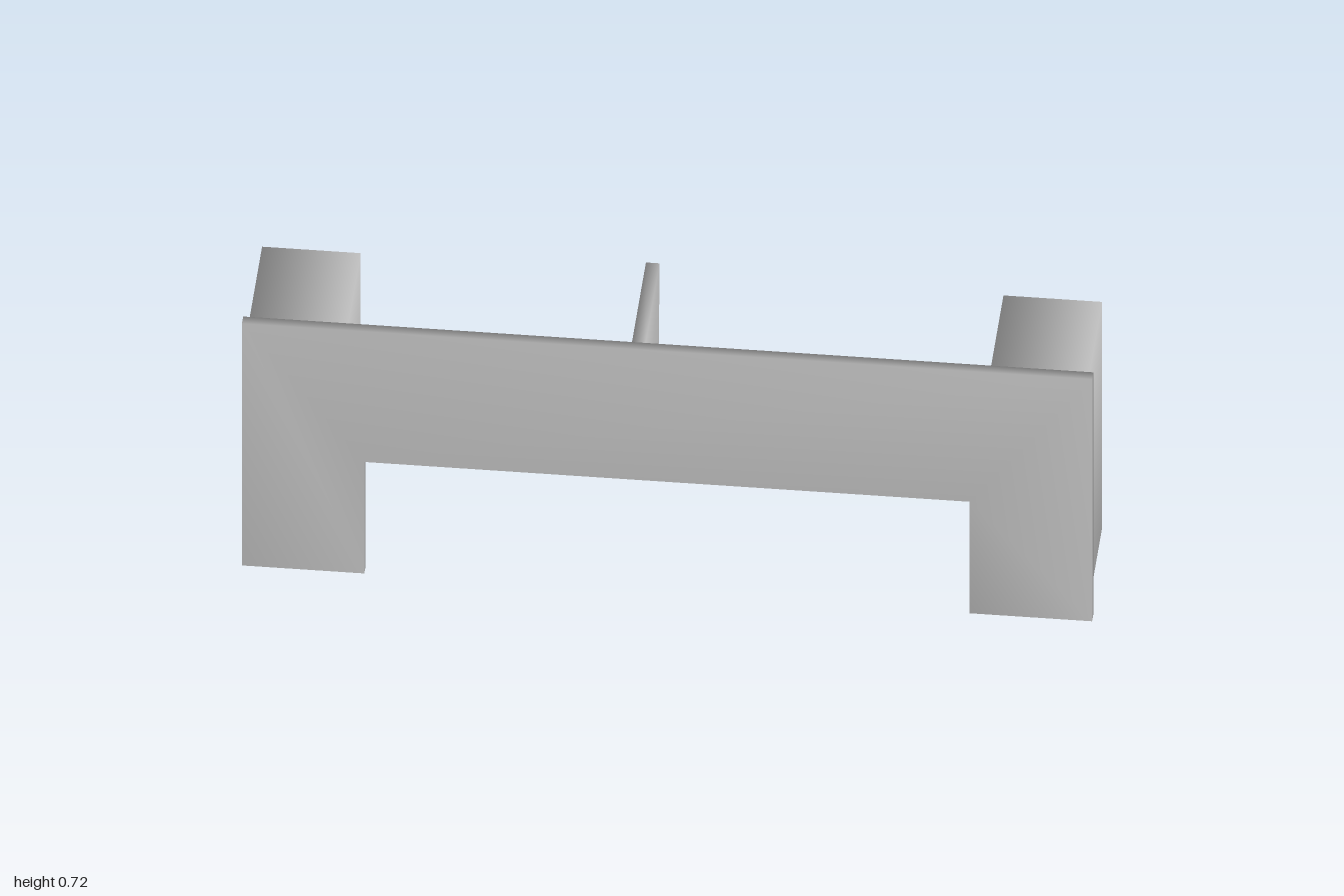
import * as THREE from 'three';
import { mergeVertices } from 'three/addons/utils/BufferGeometryUtils.js';

const material = new THREE.MeshStandardMaterial({ color: 0xcccccc });
const shellMaterial = new THREE.MeshStandardMaterial({ color: 0xcccccc, side: THREE.DoubleSide });

// Shares corner vertices so the shading runs softly over the edges
function soften(geometry) {
  geometry.deleteAttribute('normal');
  geometry.deleteAttribute('uv');
  const merged = mergeVertices(geometry);
  merged.computeVertexNormals();
  return merged;
}

// Extrudes an outline of [x, y] points from z0 to z1
function slab(name, points, z0, z1) {
  const shape = new THREE.Shape(points.map(([x, y]) => new THREE.Vector2(x, y)));
  const geometry = new THREE.ExtrudeGeometry(shape, { depth: z1 - z0, bevelEnabled: false });
  geometry.translate(0, 0, z0);
  const mesh = new THREE.Mesh(soften(geometry), material);
  mesh.name = name;
  return mesh;
}

// Thin rectangular sleeve: two sides, top and bottom, open at front and back
function sleeve(name, width, height, depth) {
  const geometry = new THREE.BoxGeometry(width, height, depth);
  geometry.setIndex(Array.from(geometry.index.array.slice(0, 24)));
  const mesh = new THREE.Mesh(soften(geometry), shellMaterial);
  mesh.name = name;
  return mesh;
}

export function createModel() {
  const group = new THREE.Group();
  group.name = 'panelWithPedestals';
  const back = -0.165, panelBack = 0.138, front = 0.165;

  // Front panel with the wide opening between its two legs
  group.add(slab('frontPanel', [
    [-1, 0], [-0.712, 0], [-0.712, 0.33], [0.712, 0.33],
    [0.712, 0], [1, 0], [1, 0.716], [-1, 0.716],
  ], panelBack, front));

  // Hollow pedestals behind each leg, closed at the front by the panel
  for (const side of [1, -1]) {
    const pedestal = sleeve(side > 0 ? 'leftPedestal' : 'rightPedestal',
      0.232, 0.67, panelBack - back);
    pedestal.position.set(side * 0.872, 0.355, (panelBack + back) / 2);
    group.add(pedestal);
  }

  // Central rib, narrower at its lower edge
  group.add(slab('centerRib', [
    [-0.07, 0.365], [-0.055, 0.365], [-0.053, 0.718], [-0.085, 0.718],
  ], back, panelBack));

  return group;
}
